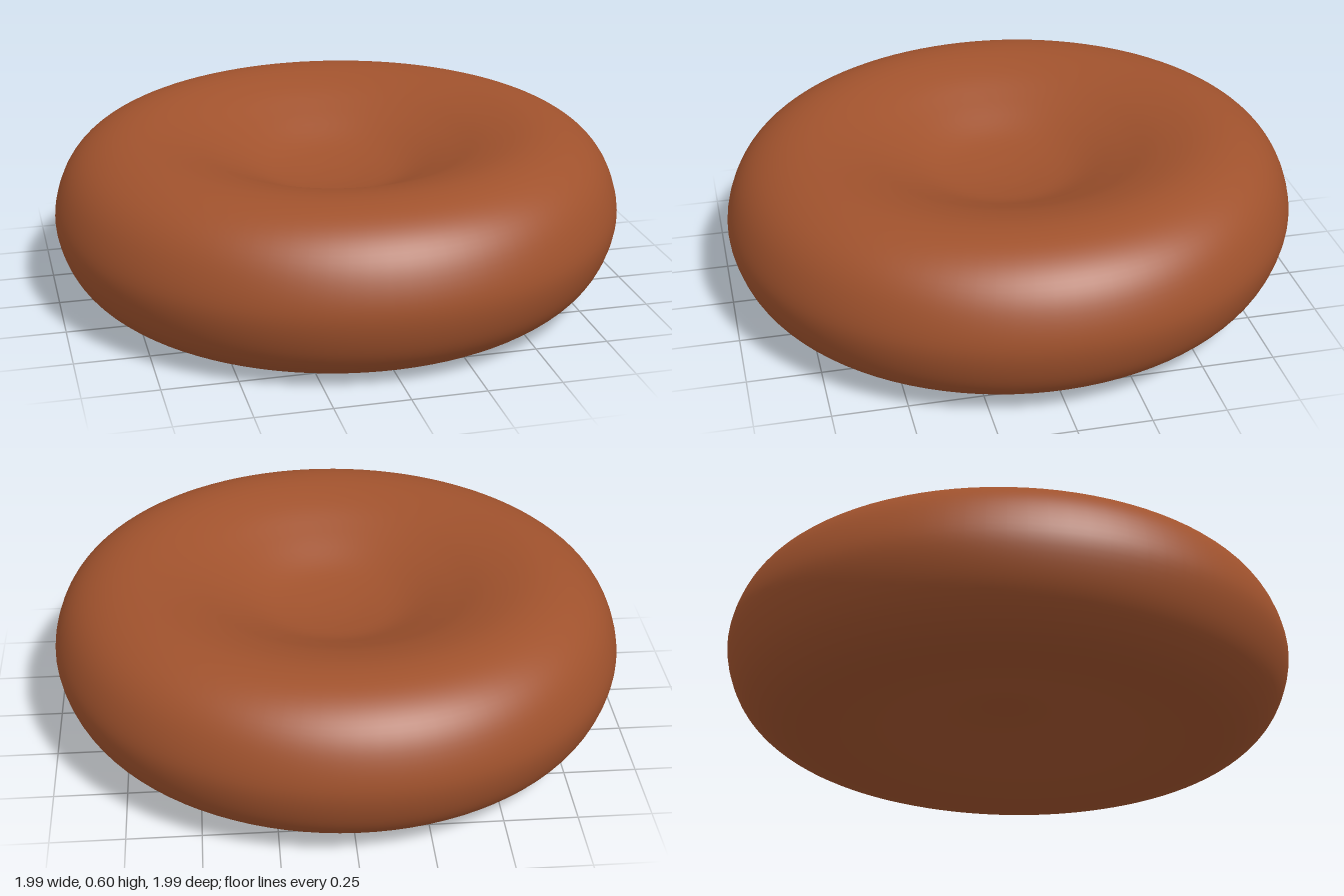
import * as THREE from 'three';

export function createModel() {
  const group = new THREE.Group();
  group.name = 'dimpledDisc';

  // Half cross-section (radius, height): bottom dimple, rounded rim, top dimple
  const profile = [
    [0, 0.15], [0.12, 0.143], [0.3, 0.095], [0.5, 0.038], [0.66, 0.018],
    [0.8, 0.028], [0.9, 0.085], [0.965, 0.175], [0.995, 0.3], [0.965, 0.425],
    [0.9, 0.515], [0.8, 0.57], [0.68, 0.583], [0.54, 0.553], [0.4, 0.495],
    [0.24, 0.425], [0.1, 0.398], [0, 0.393],
  ].map(([r, y]) => new THREE.Vector2(r, y));
  const points = new THREE.SplineCurve(profile).getPoints(90);
  points.forEach((p) => { p.x = Math.max(0, p.x); });
  points[0].x = points[points.length - 1].x = 0;

  const geometry = new THREE.LatheGeometry(points, 96);

  // Slight lean: higher toward the left and the back
  geometry.applyMatrix4(new THREE.Matrix4().set(
    1, 0, 0, 0,
    0.012, 1, -0.018, 0,
    0, 0, 1, 0,
    0, 0, 0, 1,
  ));

  const body = new THREE.Mesh(geometry, new THREE.MeshStandardMaterial({ color: 0xa0522d }));
  body.name = 'body';
  group.add(body);
  return group;
}
